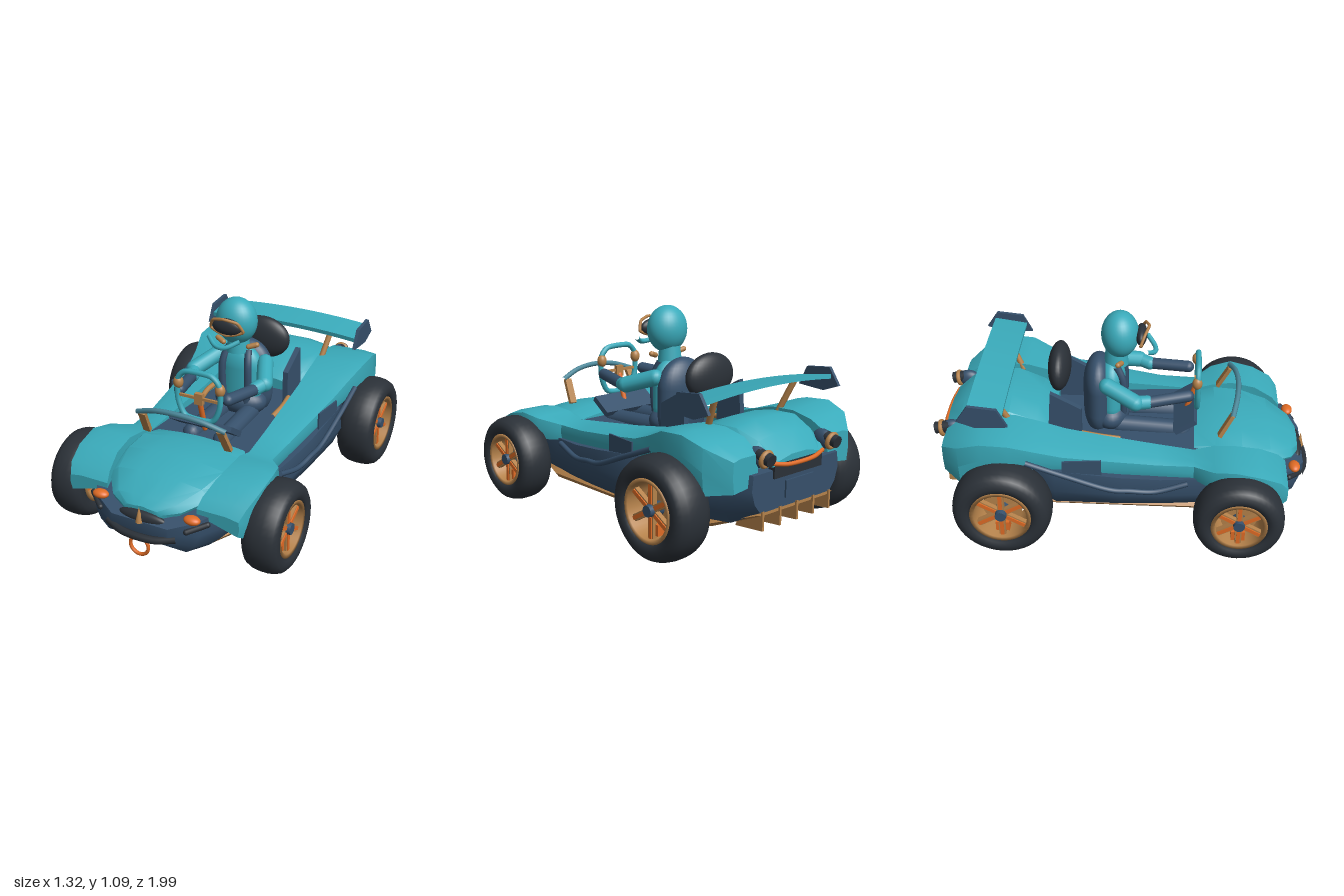
import * as THREE from 'three';
import { toCreasedNormals } from 'three/addons/utils/BufferGeometryUtils.js';

const mat = (name, color) => Object.assign(new THREE.MeshStandardMaterial({ color }), { name });
const V = (p) => new THREE.Vector3(...p);

// Solid from counter-clockwise [x, y] rings at falling z; sections = [z, ring]
function loft(sections, crease = 0.6) {
  const n = sections[0][1].length, pos = [], idx = [];
  for (const [z, ring] of sections) for (const [x, y] of ring) pos.push(x, y, z);
  const last = (sections.length - 1) * n;
  for (let i = 0; i < last; i += n) {
    for (let j = 0; j < n; j++) {
      const a = i + j, b = i + (j + 1) % n;
      idx.push(a, a + n, b, b, a + n, b + n);
    }
  }
  for (let j = 1; j < n - 1; j++) idx.push(0, j, j + 1, last, last + j + 1, last + j);
  const g = new THREE.BufferGeometry();
  g.setAttribute('position', new THREE.Float32BufferAttribute(pos, 3));
  g.setIndex(idx);
  return toCreasedNormals(g, crease);
}
const flip = (ring) => ring.map(([x, y]) => [-x, y]).reverse();
// Closes a right half outline, listed bottom to top, with its mirror
const both = (half) => [...half, ...flip(half)];
const tube = (pts, r, closed = false, tension = 0.5) =>
  new THREE.TubeGeometry(new THREE.CatmullRomCurve3(pts.map(V), closed, 'catmullrom', tension), pts.length * 8, r, 8, closed);
const box = (w, h, d, sx = 1) => new THREE.BoxGeometry(w, h, d, sx, 1, 1);
const ball = (rx, ry, rz) => new THREE.SphereGeometry(1, 32, 20).scale(rx, ry, rz);
const cyl = (r1, r2, h) => new THREE.CylinderGeometry(r1, r2, h, 20);

// Plate drawn in [z, y], thickness t across x
function sidePlate(pts, t) {
  const s = new THREE.Shape(pts.map(([z, y]) => new THREE.Vector2(z, y)));
  return new THREE.ExtrudeGeometry(s, { depth: t, bevelEnabled: false }).translate(0, 0, -t / 2).rotateY(-Math.PI / 2);
}

export function createModel() {
  const teal = mat('teal paint', 0x3aabbb), navy = mat('navy', 0x36506b), dark = mat('black rubber', 0x2b3138);
  const tan = mat('bronze', 0xb5824b), orange = mat('orange', 0xe06c26), glass = mat('grey blue', 0x4a8799);
  const root = new THREE.Group();
  root.name = 'buggy';
  const add = (name, geo, m, p = [0, 0, 0], r = [0, 0, 0], parent = root) => {
    const o = new THREE.Mesh(geo, m);
    o.name = name;
    o.position.set(...p);
    o.rotation.set(...r);
    parent.add(o);
    return o;
  };
  // Rounded rod between two points
  const rod = (name, a, b, r, m) => {
    const A = V(a), B = V(b), d = B.clone().sub(A);
    const o = add(name, new THREE.CapsuleGeometry(r, d.length(), 6, 14), m, A.add(B).multiplyScalar(0.5).toArray());
    o.quaternion.setFromUnitVectors(new THREE.Vector3(0, 1, 0), d.normalize());
  };

  // Lower tub: z, bottom half width, top half width, bottom y, top y
  add('lowerTub', loft([
    [0.96, 0.13, 0.16, 0.2, 0.29], [0.9, 0.22, 0.29, 0.15, 0.33], [0.78, 0.28, 0.37, 0.14, 0.36],
    [0.4, 0.33, 0.43, 0.13, 0.36], [0.2, 0.35, 0.455, 0.13, 0.365], [0, 0.36, 0.475, 0.13, 0.385],
    [-0.34, 0.36, 0.495, 0.13, 0.43], [-0.46, 0.34, 0.41, 0.14, 0.43], [-0.8, 0.3, 0.37, 0.17, 0.44],
    [-0.94, 0.25, 0.31, 0.24, 0.43],
  ].map(([z, wb, wt, yb, yt]) => [z, both([[wb, yb], [wb * 0.35 + wt * 0.65, yb * 0.75 + yt * 0.25],
    [wt, yb * 0.4 + yt * 0.6], [wt * 0.97, yt]])]), 0.9), navy);

  // Hood: z, half width, top y, edge y
  add('hood', loft([
    [0.93, 0.1, 0.355, 0.32], [0.89, 0.19, 0.39, 0.33], [0.77, 0.285, 0.445, 0.35], [0.62, 0.33, 0.48, 0.36],
    [0.48, 0.33, 0.49, 0.37], [0.37, 0.305, 0.465, 0.37],
  ].map(([z, w, t, e]) => [z, both([[w * 0.9, e - 0.01], [w, e + (t - e) * 0.35],
    [w * 0.82, e + (t - e) * 0.8], [w * 0.4, t - 0.005], [w * 0.1, t]])])), teal);

  // Rear deck
  add('rearDeck', loft([
    [-0.38, 0.23, 0.5, 0.42], [-0.46, 0.25, 0.56, 0.42], [-0.6, 0.26, 0.615, 0.42], [-0.74, 0.26, 0.62, 0.42],
    [-0.86, 0.23, 0.575, 0.43], [-0.95, 0.18, 0.49, 0.45],
  ].map(([z, w, t, e]) => [z, both([[w, e], [w, e + (t - e) * 0.55], [w * 0.8, t - 0.02], [w * 0.3, t]])])), teal);

  // Fenders and side pods: z, inner x, outer x, inner top, outer top, inner bottom, outer bottom
  const flank = [
    [0.85, 0.25, 0.475, 0.37, 0.36, 0.34, 0.28], [0.81, 0.26, 0.495, 0.415, 0.41, 0.33, 0.255],
    [0.71, 0.28, 0.515, 0.465, 0.455, 0.34, 0.3], [0.58, 0.29, 0.52, 0.485, 0.485, 0.36, 0.36],
    [0.47, 0.28, 0.495, 0.475, 0.465, 0.36, 0.35], [0.37, 0.28, 0.415, 0.445, 0.435, 0.36, 0.35],
    [0.18, 0.27, 0.42, 0.465, 0.44, 0.36, 0.36], [-0.1, 0.25, 0.445, 0.495, 0.475, 0.38, 0.38],
    [-0.3, 0.24, 0.465, 0.525, 0.505, 0.4, 0.42], [-0.43, 0.24, 0.49, 0.565, 0.55, 0.4, 0.44],
    [-0.56, 0.24, 0.525, 0.6, 0.605, 0.42, 0.44], [-0.7, 0.24, 0.53, 0.605, 0.615, 0.42, 0.43],
    [-0.82, 0.24, 0.51, 0.58, 0.575, 0.4, 0.35], [-0.92, 0.25, 0.415, 0.52, 0.51, 0.38, 0.36],
  ].map(([z, xi, xo, ti, to, bi, bo]) => [z, [[xi, bi], [xo - 0.01, bo], [xo, (bo + to) / 2],
    [xo - 0.005, to], [xo * 0.7 + xi * 0.3, to * 0.7 + ti * 0.3 + 0.008], [xi, ti]]]);

  // Floor pan with chamfered nose and rising tail
  add('floorPan', loft([
    [0.83, 0.14, 0.15, 0.11, 0.135], [0.74, 0.24, 0.26, 0.098, 0.15], [0.52, 0.33, 0.35, 0.09, 0.155],
    [-0.5, 0.33, 0.35, 0.09, 0.145], [-0.66, 0.28, 0.32, 0.11, 0.16], [-0.94, 0.24, 0.27, 0.225, 0.25],
  ].map(([z, wb, wt, yb, yt]) => [z, both([[wb, yb], [wt, yb * 0.6 + yt * 0.4], [wt * 0.86, yt]])]), 0.3), tan);
  for (let i = 0; i < 5; i++)
    add('diffuserFin', sidePlate([[-0.78, 0.14], [-0.8, 0.19], [-0.95, 0.25], [-0.95, 0.155]], 0.012), tan, [-0.24 + i * 0.12, 0, 0]);

  // Cockpit
  add('cockpitFloor', box(0.56, 0.05, 0.82), navy, [0, 0.415, -0.02]);
  add('dashboard', box(0.36, 0.03, 0.13), navy, [0, 0.51, 0.32], [-0.6, 0, 0]);
  add('seatBack', new THREE.CapsuleGeometry(0.155, 0.14, 10, 28).scale(1, 1.02, 0.52), navy, [0, 0.6, -0.145]);
  add('headrest', ball(0.16, 0.12, 0.06), dark, [0, 0.76, -0.35]);

  // Driver
  add('torso', new THREE.CapsuleGeometry(0.125, 0.13, 10, 28).scale(1, 1, 0.58), teal, [0, 0.63, -0.075]);
  add('lap', ball(0.15, 0.085, 0.1), navy, [0, 0.49, -0.08]);
  add('neck', cyl(0.055, 0.065, 0.09), teal, [0, 0.835, -0.05]);
  add('helmet', ball(0.113, 0.125, 0.098), teal, [0, 0.965, -0.03]);
  add('visor', ball(0.085, 0.045, 0.03), dark, [0, 0.965, 0.08]);
  add('visorFrame', tube([[0.095, 0.95, 0.08], [0.07, 1.0, 0.1], [0, 1.018, 0.12], [-0.07, 1.0, 0.1],
    [-0.095, 0.95, 0.08], [-0.05, 0.93, 0.085], [0, 0.92, 0.09], [0.05, 0.93, 0.085]], 0.008, true, 0.2), tan);
  add('chinBar', tube([[-0.09, 0.91, 0.11], [-0.03, 0.88, 0.15], [0.03, 0.88, 0.15], [0.09, 0.91, 0.11]], 0.013), teal);

  // Steering
  add('steeringWheel', tube([[0.07, 0.82, 0.38], [0.12, 0.77, 0.38], [0.12, 0.66, 0.38], [0.075, 0.572, 0.38],
    [-0.075, 0.572, 0.38], [-0.12, 0.66, 0.38], [-0.12, 0.77, 0.38], [-0.07, 0.82, 0.38]], 0.015, true, 0.35), teal);
  add('steeringHub', box(0.045, 0.06, 0.025), tan, [0, 0.68, 0.375]);
  add('wheelSpoke', box(0.23, 0.014, 0.012), tan, [0, 0.685, 0.38]);
  rod('steeringColumn', [0, 0.66, 0.37], [0, 0.49, 0.32], 0.014, orange);

  // Windscreen rail
  add('screenRail', tube([[-0.25, 0.635, 0.56], [-0.13, 0.675, 0.585], [0, 0.688, 0.595], [0.13, 0.675, 0.585],
    [0.25, 0.635, 0.56]], 0.014), glass);

  // Rear wing, bowed across its span
  const wing = box(0.92, 0.024, 0.18, 16), wp = wing.attributes.position;
  for (let i = 0; i < wp.count; i++) wp.setY(i, wp.getY(i) - 0.125 * wp.getX(i) ** 2);
  wing.computeVertexNormals();
  add('rearWing', wing, teal, [0, 0.771, -0.675], [0.15, 0, 0]);

  // Nose and tail details
  add('noseGrille', ball(0.13, 0.035, 0.03), dark, [0, 0.3, 0.93]);
  add('frontBumper', tube([[-0.19, 0.235, 0.94], [-0.1, 0.22, 0.97], [0, 0.218, 0.98], [0.1, 0.22, 0.97],
    [0.19, 0.235, 0.94]], 0.019), dark);
  add('towRing', new THREE.TorusGeometry(0.05, 0.009, 8, 28), orange, [0, 0.16, 0.965]);
  add('hoodCatch', new THREE.ConeGeometry(0.02, 0.08, 10), tan, [0, 0.325, 0.955]);
  add('tailGrille', box(0.34, 0.07, 0.04), dark, [0, 0.425, -0.93]);
  add('tailLip', tube([[-0.18, 0.465, -0.945], [-0.08, 0.45, -0.965], [0.08, 0.45, -0.965], [0.18, 0.465, -0.945]], 0.011), orange);
  add('tailPlate', box(0.2, 0.085, 0.009), navy, [0, 0.33, -0.958]);

  for (const s of [1, -1]) {
    const m = (p) => [s * p[0], p[1], p[2]];
    add('sideBody', loft(flank.map(([z, ring]) => [z, s > 0 ? ring : flip(ring)])), teal);
    add('numberPlate', box(0.009, 0.105, 0.2), navy, [s * 0.464, 0.437, -0.2], [0, -s * 0.1, 0]);
    add('sideRail', tube([[0.44, 0.345, 0.34], [0.462, 0.305, 0.18], [0.48, 0.318, 0.05], [0.492, 0.335, -0.07],
      [0.505, 0.42, -0.28], [0.51, 0.5, -0.48]].map(m), 0.014), navy);
    add('cockpitPanel', sidePlate([[-0.22, 0.44], [-0.22, 0.63], [-0.38, 0.72], [-0.4, 0.44]].reverse(), 0.03), navy, [s * 0.2, 0, 0]);
    add('cockpitTrim', tube([[0.222, 0.485, -0.22], [0.232, 0.475, -0.12], [0.222, 0.455, -0.02]].map(m), 0.015), tan);
    add('screenPost', box(0.04, 0.14, 0.02), tan, m([0.228, 0.57, 0.53]), [0.46, 0, s * 0.08]);

    // Collar, arms, hands, harness and legs
    rod('collar', m([0.075, 0.832, -0.02]), m([0.115, 0.845, -0.035]), 0.014, tan);
    rod('upperArm', m([0.14, 0.73, -0.09]), m([0.21, 0.68, 0.06]), 0.043, teal);
    rod('elbow', m([0.21, 0.68, 0.06]), m([0.185, 0.67, 0.12]), 0.036, teal);
    rod('forearm', m([0.185, 0.67, 0.13]), m([0.14, 0.685, 0.33]), 0.031, navy);
    add('hand', ball(0.026, 0.034, 0.026), tan, m([0.12, 0.75, 0.375]));
    add('harnessStrap', tube([[0.06, 0.8, -0.045], [0.075, 0.72, -0.013], [0.075, 0.6, -0.01], [0.06, 0.48, -0.015]].map(m), 0.021), navy);
    rod('leg', m([0.08, 0.45, -0.03]), m([0.09, 0.435, 0.3]), 0.05, navy);

    // Wing supports
    add('wingEndPlate', sidePlate([[-0.56, 0.69], [-0.72, 0.68], [-0.815, 0.715], [-0.755, 0.805], [-0.61, 0.79]].reverse(), 0.018), navy, [s * 0.46, 0, 0]);
    rod('wingStrut', m([0.25, 0.57, -0.59]), m([0.28, 0.745, -0.67]), 0.016, tan);

    // Lamps
    add('headlamp', ball(0.043, 0.022, 0.03), orange, m([0.255, 0.338, 0.9]));
    rod('lampBar', m([0.24, 0.285, 0.93]), m([0.32, 0.315, 0.87]), 0.014, dark);
    add('tailLampSocket', ball(0.035, 0.05, 0.06), navy, m([0.235, 0.5, -0.9]));
    add('tailLamp', cyl(0.031, 0.031, 0.08), dark, m([0.237, 0.507, -0.95]), [1.35, 0, 0]);
    add('tailLampRing', new THREE.TorusGeometry(0.034, 0.012, 8, 24), tan, m([0.236, 0.5, -0.955]), [-0.2, 0, 0]);

    // Wheels
    for (const [z, R, w, cx] of [[0.604, 0.232, 0.095, 0.55], [-0.6, 0.255, 0.105, 0.556]]) {
      const wheel = new THREE.Group();
      wheel.name = z > 0 ? 'frontWheel' : 'rearWheel';
      wheel.position.set(s * cx, R, z);
      wheel.rotation.z = -s * Math.PI / 2;
      root.add(wheel);
      const h = R * 0.6;
      const ring = (pts) => new THREE.LatheGeometry(pts.map(([r, y]) => new THREE.Vector2(r, y)), 40);
      const part = (name, g, mt, p, r) => add(name, g, mt, p, r, wheel);
      const side = [[h, 0.82], [h + 0.015, 0.94], [R * 0.75, 1], [R * 0.85, 0.95], [R * 0.93, 0.8], [R * 0.98, 0.52], [R, 0.18]];
      part('tire', ring([...side.map(([r, y]) => [r, -y * w]), ...side.map(([r, y]) => [r, y * w]).reverse(), [h, -w * 0.82]]), dark);
      part('rim', ring([[h - 0.016, -w * 0.85], [h + 0.004, -w * 0.87], [h + 0.004, w * 0.87], [h - 0.016, w * 0.85], [h - 0.016, -w * 0.85]]), tan);
      part('brakeDisc', cyl(h * 0.66, h * 0.66, 0.02), tan);
      part('hub', cyl(0.028, 0.036, w * 0.9), navy, [0, w * 0.4, 0]);
      for (let i = 0; i < 6; i++) {
        const a = i * Math.PI / 3, r = h * 0.56;
        part('spoke', box(h * 0.85, 0.025, 0.034), tan, [Math.cos(a) * r, w * 0.5, -Math.sin(a) * r], [0, a, 0]);
        part('spokeInlay', box(h * 0.7, 0.008, 0.019), orange, [Math.cos(a) * r, w * 0.5 + 0.014, -Math.sin(a) * r], [0, a, 0]);
      }
      part('brakeCaliper', box(0.055, 0.05, 0.07), orange, [s * h * 0.62, w * 0.25, 0]);
      rod('axle', [s * 0.3, R, z], [s * cx, R, z], 0.022, tan);
    }
  }
  return root;
}
